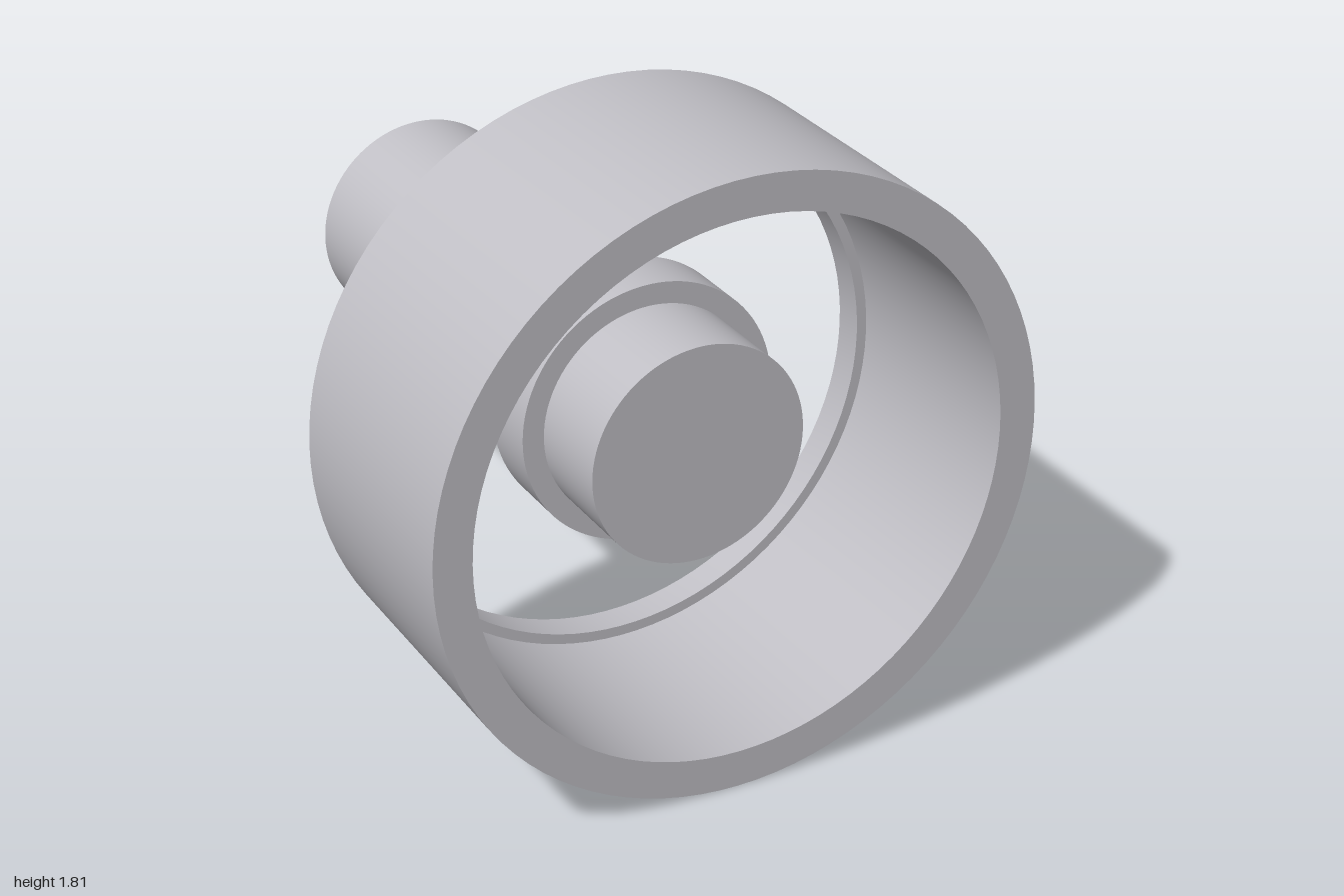
import * as THREE from 'three';
import { toCreasedNormals } from 'three/addons/utils/BufferGeometryUtils.js';

const SEGMENTS = 96;
const AXIS_HEIGHT = 0.903;

// Turned part: profile of [radius, z] points, revolved about the z axis
function turnedPart(name, profile, material) {
  const points = profile.map(([r, z]) => new THREE.Vector2(r, z));
  const lathe = new THREE.LatheGeometry(points, SEGMENTS);
  lathe.rotateX(Math.PI / 2);
  const mesh = new THREE.Mesh(toCreasedNormals(lathe, 0.6), material);
  mesh.name = name;
  mesh.position.y = AXIS_HEIGHT;
  return mesh;
}

export function createModel() {
  const model = new THREE.Group();
  model.name = 'shaftAndRing';

  const metal = new THREE.MeshStandardMaterial({ color: 0xc0bfc5 });
  metal.name = 'light grey metal';

  // Outer ring, bored from the front, with a narrow lip left at the back
  const outerR = 0.903, boreR = 0.792, lipR = 0.761;
  const back = 0.227, lipFront = 0.32, front = 1;
  model.add(turnedPart('outerRing', [
    [lipR, back], [outerR, back], [outerR, front],
    [boreR, front], [boreR, lipFront], [lipR, lipFront], [lipR, back],
  ], metal));

  // Shaft with a raised collar near its front end
  const shaftR = 0.322, collarR = 0.386;
  model.add(turnedPart('collaredShaft', [
    [0, -1], [shaftR, -1], [shaftR, 0.29], [collarR, 0.29],
    [collarR, 0.47], [shaftR, 0.47], [shaftR, 0.75], [0, 0.75],
  ], metal));

  return model;
}
